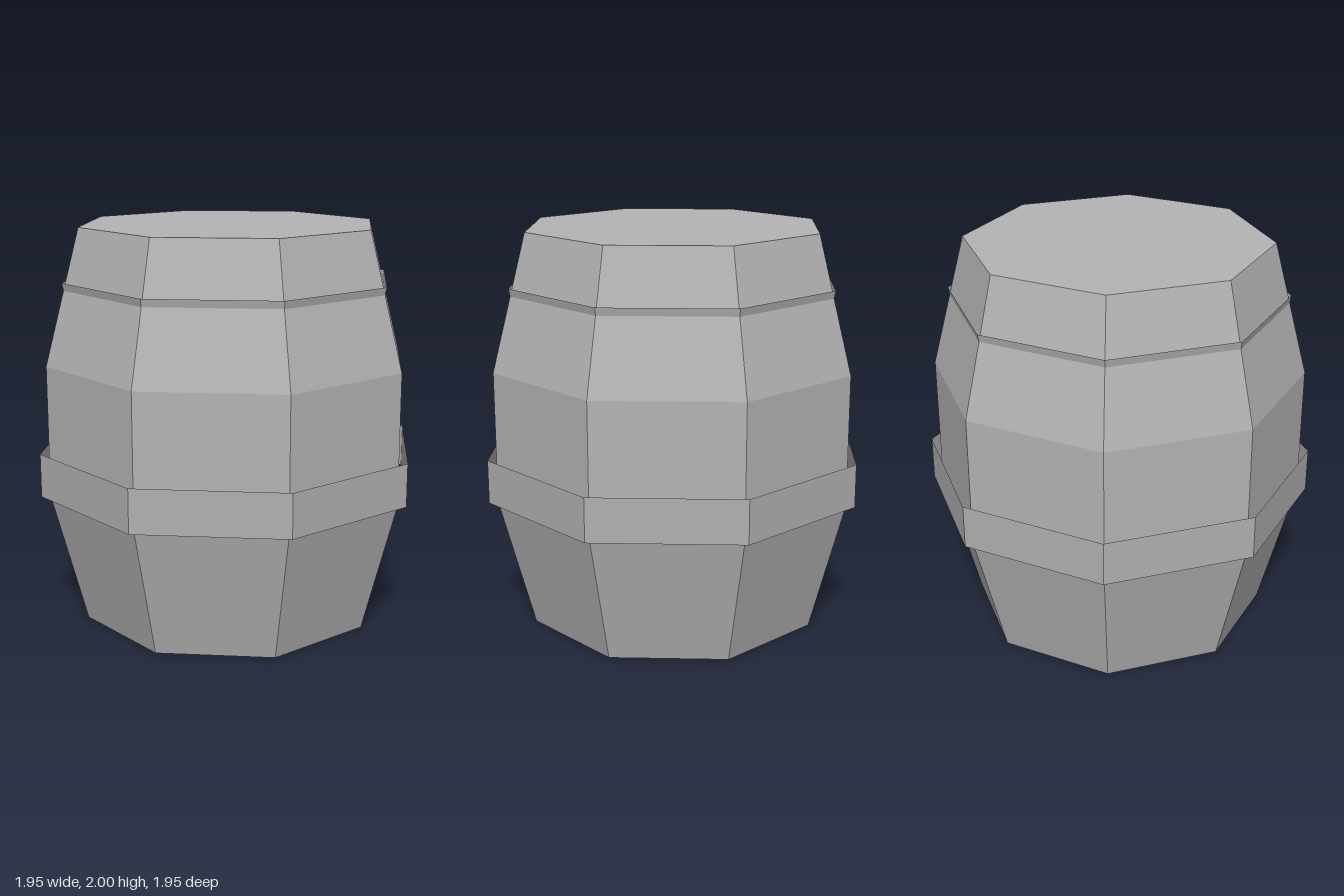
import * as THREE from 'three';

const SIDES = 8;

export function createModel() {
  const barrel = new THREE.Group();
  barrel.name = 'barrel';

  const bodyGrey = new THREE.MeshStandardMaterial({ color: 0xb4b4b4, flatShading: true });
  bodyGrey.name = 'body grey';
  const hoopGrey = new THREE.MeshStandardMaterial({ color: 0xb0b0b0, flatShading: true, side: THREE.DoubleSide });
  hoopGrey.name = 'hoop grey';

  const add = (name, geometry, material, y = 0) => {
    const mesh = new THREE.Mesh(geometry, material);
    mesh.name = name;
    mesh.position.y = y;
    barrel.add(mesh);
  };

  // Faceted staves with closed ends, one corner facing front
  const profile = [[0, 0], [0.756, 0], [0.932, 0.67], [0.932, 1.33], [0.756, 2], [0, 2]]
    .map(([r, y]) => new THREE.Vector2(r, y));
  add('body', new THREE.LatheGeometry(profile, SIDES), bodyGrey);

  // Open sheet hoops: a straight one at the belly, a tapered one sinking into the upper staves
  const hoop = (name, topRadius, bottomRadius, bottom, top) => add(
    name,
    new THREE.CylinderGeometry(topRadius, bottomRadius, top - bottom, SIDES, 1, true),
    hoopGrey,
    (top + bottom) / 2,
  );
  hoop('bellyHoop', 0.977, 0.977, 0.67, 0.89);
  hoop('upperHoop', 0.843, 0.8, 1.515, 1.735);

  return barrel;
}
